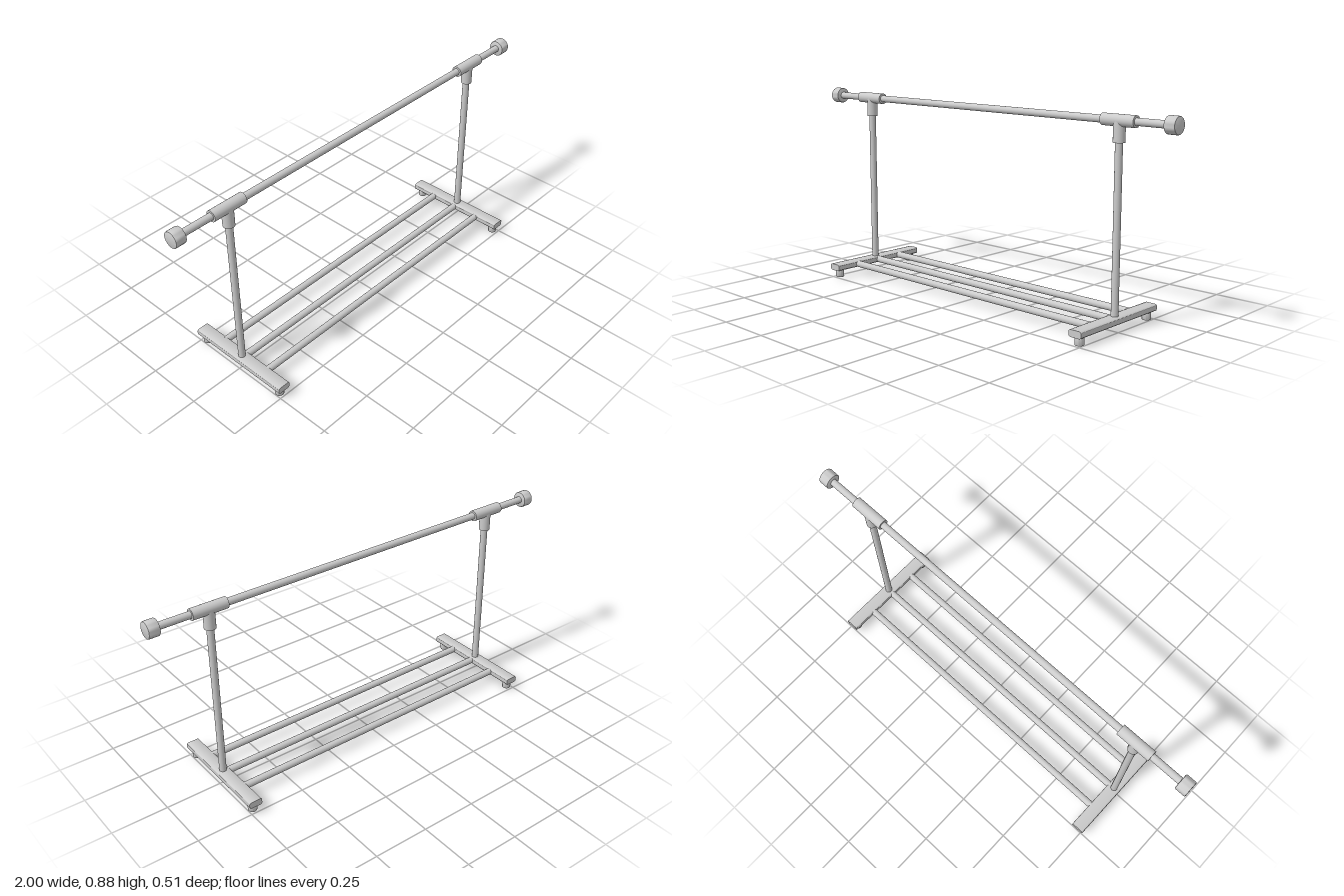
import * as THREE from 'three';
import { toCreasedNormals } from 'three/addons/utils/BufferGeometryUtils.js';

const material = new THREE.MeshStandardMaterial({ color: 0xcccccc });
const POST_X = 0.73, RAIL_Y = 0.846, BASE_Y = 0.05, TUBE_R = 0.0155;

export function createModel() {
  const group = new THREE.Group();

  const add = (name, geometry, x, y, z) => {
    const mesh = new THREE.Mesh(geometry, material);
    mesh.name = name;
    mesh.position.set(x, y, z);
    group.add(mesh);
    return mesh;
  };
  const tubeX = (r, length) => new THREE.CylinderGeometry(r, r, length, 32).rotateZ(Math.PI / 2);
  const tubeY = (r, length) => new THREE.CylinderGeometry(r, r, length, 32);

  // Solid disc with softened rims, centred on its own y axis
  const softCylinder = (r, h, b) => {
    const profile = [
      [0, -h / 2], [r - b, -h / 2], [r - b * 0.3, -h / 2 + b * 0.3], [r, -h / 2 + b],
      [r, h / 2 - b], [r - b * 0.3, h / 2 - b * 0.3], [r - b, h / 2], [0, h / 2],
    ].map(([x, y]) => new THREE.Vector2(x, y));
    return toCreasedNormals(new THREE.LatheGeometry(profile, 32), 0.6);
  };

  // Base bar: rounded rectangular section run along z
  const baseBar = (w, h, length, r) => {
    const s = new THREE.Shape();
    s.moveTo(-w / 2 + r, -h / 2);
    s.absarc(w / 2 - r, -h / 2 + r, r, -Math.PI / 2, 0);
    s.absarc(w / 2 - r, h / 2 - r, r, 0, Math.PI / 2);
    s.absarc(-w / 2 + r, h / 2 - r, r, Math.PI / 2, Math.PI);
    s.absarc(-w / 2 + r, -h / 2 + r, r, Math.PI, Math.PI * 1.5);
    const g = new THREE.ExtrudeGeometry(s, { depth: length, bevelEnabled: false, curveSegments: 6 });
    return toCreasedNormals(g.translate(0, 0, -length / 2), 0.6);
  };

  // Hanging rail across the top
  add('hangingRail', tubeX(TUBE_R, 1.92), 0, RAIL_Y, 0);

  // Three lower rails joining the bases
  for (const z of [-0.13, 0, 0.13]) add('lowerRail', tubeX(TUBE_R, 1.42), 0, BASE_Y, z);

  for (const [side, s] of [['left', 1], ['right', -1]]) {
    const x = s * POST_X;
    // Upright, tee joint and end knob
    add(side + 'Post', tubeY(TUBE_R, 0.78), x, 0.44, 0);
    add(side + 'TeeSleeve', tubeX(0.0245, 0.158), x, RAIL_Y, 0);
    add(side + 'TeeSocket', tubeY(0.0245, 0.086), x, 0.803, 0);
    add(side + 'EndKnob', softCylinder(0.036, 0.05, 0.005).rotateZ(Math.PI / 2), s * 0.975, RAIL_Y, 0);

    // Base bar on two feet
    add(side + 'BaseBar', baseBar(0.06, 0.03, 0.508, 0.009), x, BASE_Y, 0);
    for (const z of [-0.224, 0.224]) add(side + 'Foot', softCylinder(0.0195, 0.04, 0.003), x, 0.02, z);
  }

  return group;
}
